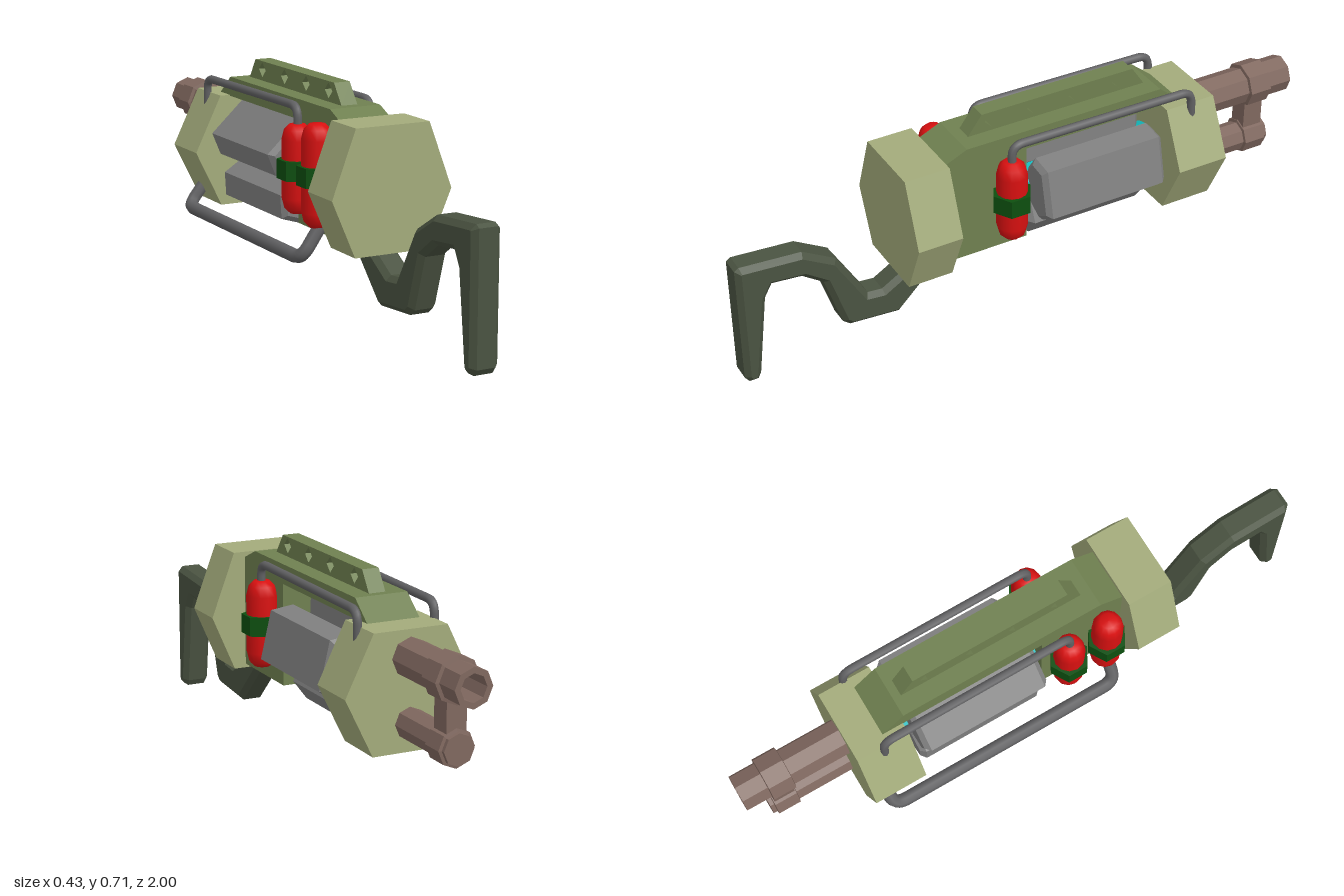
import * as THREE from 'three';

const mat = (color, flatShading = true) => new THREE.MeshStandardMaterial({ color, flatShading });

export function createModel() {
  const root = new THREE.Group();
  const paleGreen = mat(0xa3ab7b), green = mat(0x6f8050), darkGreen = mat(0x4a5341);
  const red = mat(0xd81010, false), bandGreen = mat(0x0d4f0f), grey = mat(0x808080);
  const pipeGrey = mat(0x616163, false), brown = mat(0x80685f), cyan = mat(0x12b8bc);

  const add = (name, geometry, material, x = 0, y = 0, z = 0) => {
    const mesh = new THREE.Mesh(geometry, material);
    mesh.name = name;
    mesh.position.set(x, y, z);
    root.add(mesh);
    return mesh;
  };

  const shapeOf = (pts) => new THREE.Shape(pts.map(([a, b]) => new THREE.Vector2(a, b)));

  // Extrude whose outline and total depth include the bevel, centred on its depth
  const extrude = (shape, depth, bevel = 0) =>
    new THREE.ExtrudeGeometry(shape, {
      depth: depth - 2 * bevel, bevelEnabled: bevel > 0, bevelSize: bevel,
      bevelThickness: bevel, bevelOffset: -bevel, bevelSegments: 1,
    }).translate(0, 0, bevel - depth / 2);

  // Side profile given as [z, y], extruded across x
  const sideShape = (pts) => shapeOf(pts.map(([z, y]) => [-z, y]));
  const sideExtrude = (shape, width, bevel) => extrude(shape, width, bevel).rotateY(Math.PI / 2);

  // Hexagonal end blocks: half widths at top, middle and bottom
  const hexBlock = (name, top, mid, bottom, z0, z1) => {
    const pts = [[top[0], top[1]], [-top[0], top[1]], [-mid[0], mid[1]],
      [-bottom[0], bottom[1]], [bottom[0], bottom[1]], [mid[0], mid[1]]];
    add(name, extrude(shapeOf(pts), z1 - z0), paleGreen, 0, 0, (z0 + z1) / 2);
  };
  hexBlock('rearBlock', [0.127, 0.632], [0.207, 0.42], [0.128, 0.237], 0.32, 0.472);
  hexBlock('frontBlock', [0.123, 0.588], [0.215, 0.4], [0.123, 0.213], -0.643, -0.465);

  // Receiver with the long upper beam
  add('receiver', sideExtrude(sideShape([
    [0.33, 0.25], [0.33, 0.61], [0.24, 0.65], [-0.46, 0.65], [-0.54, 0.585], [0.03, 0.585], [0.03, 0.25],
  ]), 0.176), green);

  // Top rail with diamond holes
  const rail = sideShape([[0.205, 0.648], [0.155, 0.715], [-0.39, 0.715], [-0.435, 0.648]]);
  for (const z of [0.12, -0.03, -0.18, -0.34]) {
    const r = 0.025, y = 0.686;
    rail.holes.push(new THREE.Path([[r, 0], [0, r], [-r, 0], [0, -r]]
      .map(([a, b]) => new THREE.Vector2(-z + a, y + b))));
  }
  add('topRail', sideExtrude(rail, 0.056), green);

  // Shoulder stock
  add('stock', sideExtrude(sideShape([
    [1, 0.43], [0.985, 0.44], [0.78, 0.425], [0.67, 0.36], [0.57, 0.19], [0.52, 0.185], [0.41, 0.25],
    [0.29, 0.36], [0.24, 0.3], [0.465, 0.077], [0.635, 0.09], [0.66, 0.11], [0.715, 0.285],
    [0.785, 0.335], [0.885, 0.345], [0.91, 0.3], [0.945, 0.02], [0.955, 0], [0.985, 0], [1, 0.02],
  ]), 0.096, 0.017), darkGreen);

  // Three drum segments around a glowing core
  const segment = extrude(shapeOf([
    [0.173, -0.08], [0.173, 0.08], [0.1, 0.107], [0.045, 0.06], [0.045, -0.06], [0.1, -0.107],
  ]), 0.44, 0.016);
  for (let i = 0; i < 3; i++) {
    const mesh = add('drumSegment', segment, grey, 0, 0.4, -0.215);
    mesh.rotation.z = THREE.MathUtils.degToRad(13 + i * 120);
  }
  add('core', new THREE.CylinderGeometry(0.07, 0.07, 0.56, 12).rotateX(Math.PI / 2), cyan, 0, 0.4, -0.21);

  // Canisters with a hexagonal band
  const canister = (x, z, y0, y1) => {
    const r = 0.05, h = y1 - y0;
    const profile = [[0, 0], [0.026, 0.002], [0.042, 0.018], [r, 0.05],
      [r, h - 0.05], [0.042, h - 0.018], [0.026, h - 0.002], [0, h]];
    add('canister', new THREE.LatheGeometry(profile.map(([a, b]) => new THREE.Vector2(a, b)), 12),
      red, x, y0, z);
    add('canisterBand', new THREE.CylinderGeometry(0.066, 0.066, 0.062, 6), bandGreen, x, (y0 + y1) / 2, z);
  };
  canister(0.128, 0.105, 0.302, 0.588);
  canister(-0.13, 0.105, 0.302, 0.588);
  canister(-0.133, 0.242, 0.285, 0.612);

  // Pipes: straight runs joined by rounded corners
  const pipe = (name, pts, radius, round) => {
    const v = pts.map((p) => new THREE.Vector3(...p));
    const path = new THREE.CurvePath();
    let from = v[0];
    for (let i = 1; i < v.length - 1; i++) {
      const toward = (p) => v[i].clone().add(p.clone().sub(v[i]).setLength(round));
      const a = toward(v[i - 1]), b = toward(v[i + 1]);
      path.add(new THREE.LineCurve3(from, a));
      path.add(new THREE.QuadraticBezierCurve3(a, v[i], b));
      from = b;
    }
    path.add(new THREE.LineCurve3(from, v[v.length - 1]));
    add(name, new THREE.TubeGeometry(path, 120, radius, 8), pipeGrey);
    // Rounded end
    add(name + 'End', new THREE.SphereGeometry(radius, 8, 6), pipeGrey, ...pts[pts.length - 1]);
  };
  for (const s of [1, -1]) {
    const x = s * 0.129;
    pipe('upperPipe', [[x, 0.56, 0.105], [x, 0.642, 0.105], [x, 0.636, -0.552], [x, 0.525, -0.555]], 0.014, 0.04);
  }
  pipe('lowerPipe', [[-0.1, 0.33, 0.25], [-0.193, 0.194, 0.25], [-0.193, 0.194, -0.58], [-0.1, 0.31, -0.58]], 0.022, 0.045);

  // Barrels: lathe profiles [radius, distance forward], turned to point to the back
  const barrel = (name, y, profile) => add(name,
    new THREE.LatheGeometry(profile.map(([a, b]) => new THREE.Vector2(a, b)), 8).rotateX(-Math.PI / 2),
    brown, 0, y, 0);
  barrel('upperBarrel', 0.503, [[0.062, 0.62], [0.062, 0.835], [0.074, 0.837], [0.074, 0.913],
    [0.062, 0.915], [0.062, 1], [0.043, 1], [0.043, 0.8], [0, 0.8]]);
  barrel('lowerBarrel', 0.302, [[0.05, 0.62], [0.05, 0.835], [0.06, 0.837], [0.06, 0.913],
    [0.05, 0.915], [0.05, 0.928], [0, 0.928]]);
  add('barrelBridge', new THREE.BoxGeometry(0.066, 0.12, 0.07), brown, 0, 0.395, -0.875);

  return root;
}
